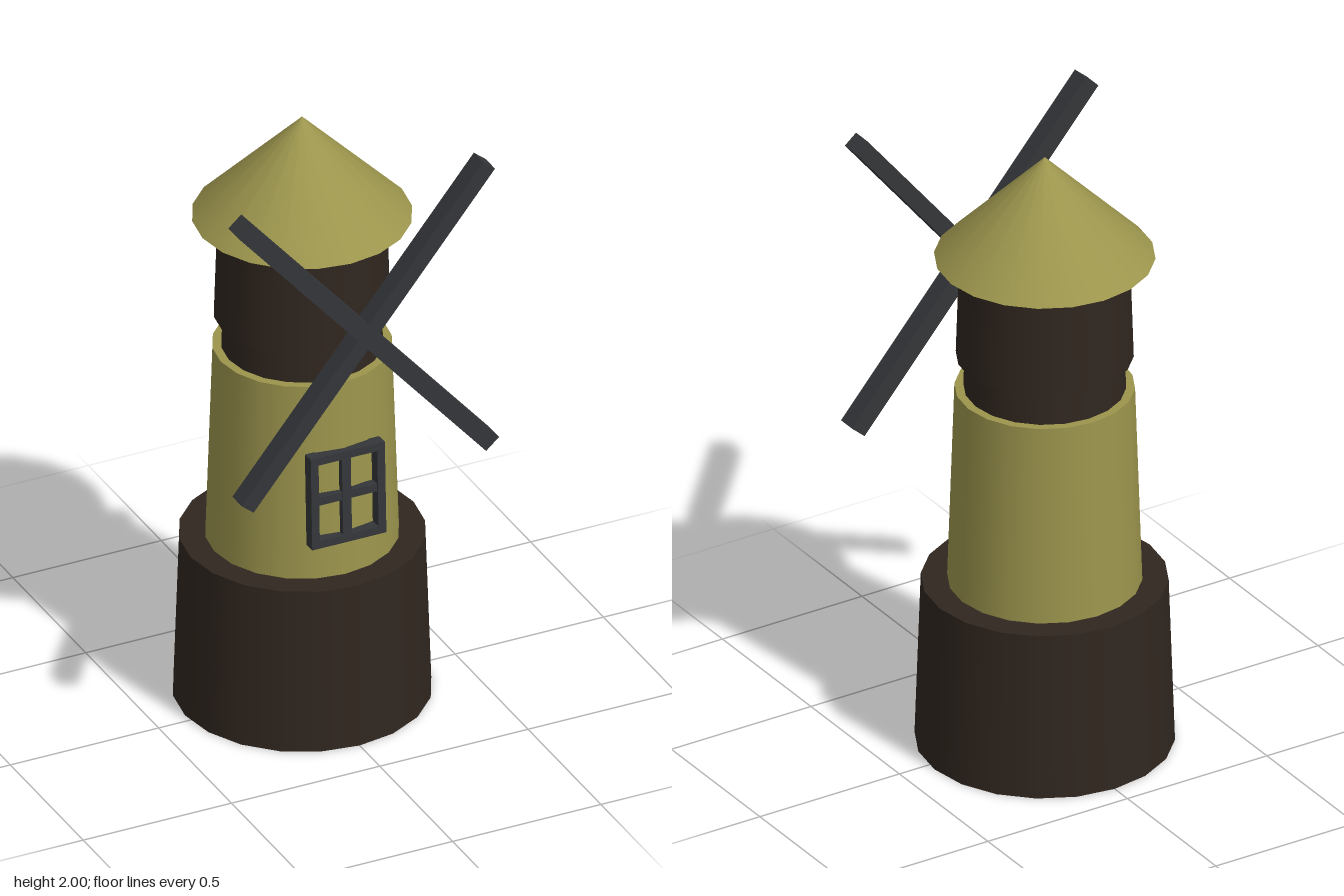
import * as THREE from 'three';

export function createModel() {
  const model = new THREE.Group();
  const olive = new THREE.MeshStandardMaterial({ color: 0x9c954d });
  const brown = new THREE.MeshStandardMaterial({ color: 0x30261f });
  const charcoal = new THREE.MeshStandardMaterial({ color: 0x343639 });

  const add = (parent, name, geometry, material, x, y, z) => {
    const mesh = new THREE.Mesh(geometry, material);
    mesh.name = name;
    mesh.position.set(x, y, z);
    parent.add(mesh);
    return mesh;
  };

  // Tower: stacked tapering 20-sided drums, set slightly behind the centre
  const tower = new THREE.Group();
  tower.name = 'tower';
  tower.position.z = -0.033;
  model.add(tower);
  const drums = [
    // name, bottom y, top y, bottom radius, top radius, material
    ['base', 0, 0.55, 0.395, 0.376, brown],
    ['body', 0.55, 1.21, 0.296, 0.274, olive],
    ['neck', 1.21, 1.32, 0.247, 0.243, brown],
    ['cap', 1.32, 1.66, 0.27, 0.259, brown],
    ['roof', 1.66, 2, 0.336, 0, olive],
  ];
  for (const [name, y0, y1, r0, r1, material] of drums) {
    add(tower, name, new THREE.CylinderGeometry(r1, r0, y1 - y0, 20), material, 0, (y0 + y1) / 2, 0);
  }

  // Axle carrying the sails
  add(model, 'axle', new THREE.BoxGeometry(0.045, 0.027, 0.22), brown, -0.007, 1.466, 0.275);

  // Two crossed sail bars
  const sails = new THREE.Group();
  sails.name = 'sails';
  sails.position.set(-0.003, 1.468, 0.396);
  model.add(sails);
  const bars = [
    ['fallingSail', 1.278, 0.058, Math.atan2(-0.965, 0.838)],
    ['risingSail', 1.287, 0.052, Math.atan2(0.998, 0.815)],
  ];
  for (const [name, length, width, angle] of bars) {
    add(sails, name, new THREE.BoxGeometry(length, width, 0.064), charcoal, 0, 0, 0).rotation.z = angle;
  }

  // Window frame, leaning back with the wall
  const frame = new THREE.Group();
  frame.name = 'window';
  frame.position.set(0.005, 0.828, 0.256);
  frame.rotation.x = -0.035;
  model.add(frame);
  const w = 0.25, h = 0.312, t = 0.026, depth = 0.04;
  for (const s of [-1, 1]) {
    add(frame, 'windowSide', new THREE.BoxGeometry(t, h, depth), charcoal, s * (w - t) / 2, 0, 0);
    add(frame, 'windowRail', new THREE.BoxGeometry(w - 2 * t, t, depth), charcoal, 0, s * (h - t) / 2, 0);
  }
  add(frame, 'mullion', new THREE.BoxGeometry(0.03, h - 2 * t, 0.034), charcoal, -0.004, 0, 0);
  add(frame, 'crossbar', new THREE.BoxGeometry(w - 2 * t, t, 0.03), charcoal, 0, 0.002, 0);

  return model;
}
